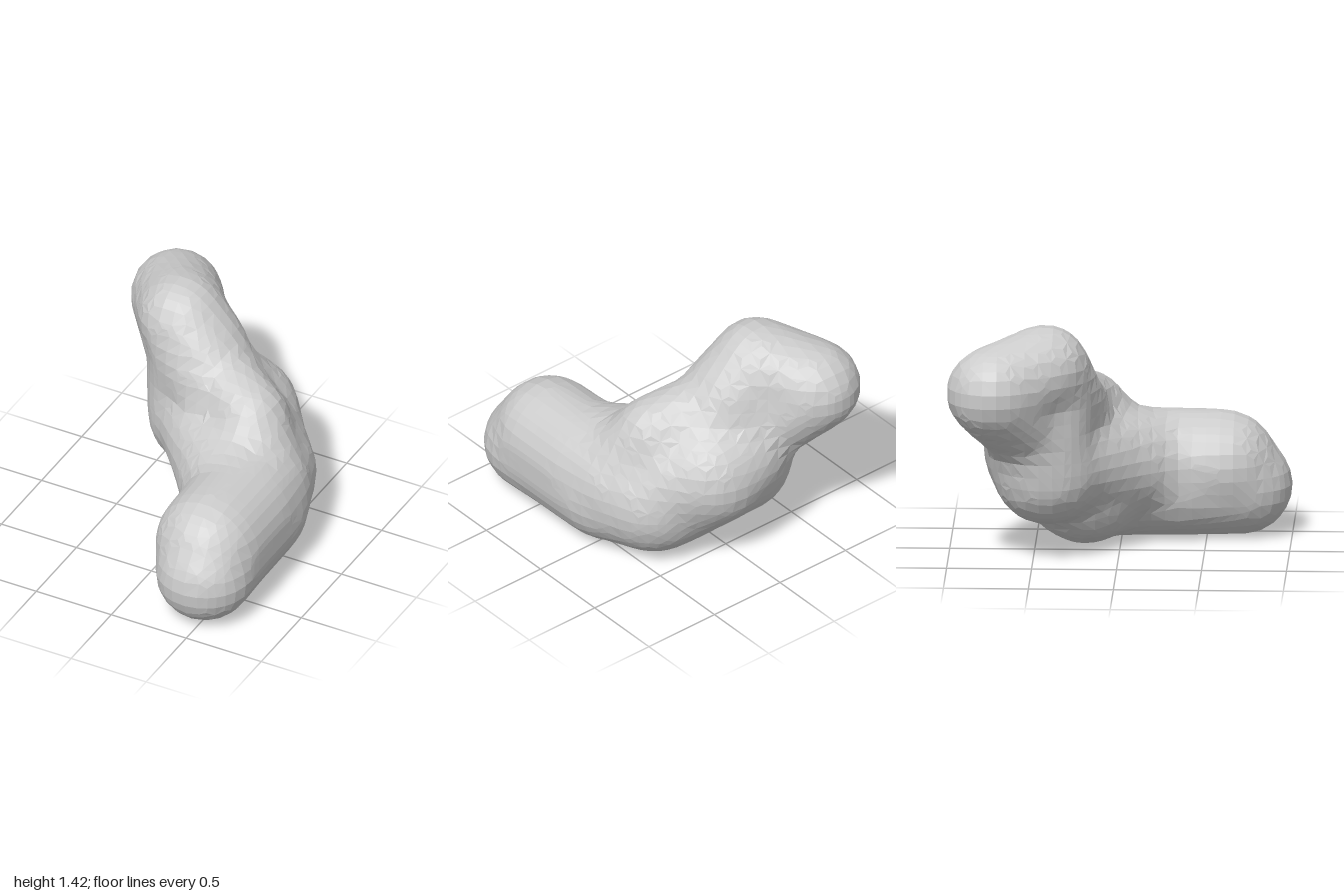
import * as THREE from 'three';

// Rounded limbs: chains of spheres [x, y, z, radius] joined by tapering links
const LOBE = [-0.29, 1.16, -0.43, 0.26];
const BACK_LOBE = [-0.49, 1.06, -0.73, 0.27];
const BELLY = [-0.15, 0.515, -0.42, 0.32];
const BEND = [0.3, 0.38, -0.2, 0.375];
const KNEE = [0.39, 0.42, -0.03, 0.345];
const HUMP = [0.3, 0.78, -0.19, 0.22];
const RIDGE = [0.13, 0.86, -0.27, 0.21];
const BACK = [0.08, 0.58, -0.45, 0.348];
const NECK = [-0.17, 1.0, -0.4, 0.285];
const CHAINS = [
  // front limb, upper and lower halves
  [[0.47, 0.29, 0.71, 0.29], [0.44, 0.42, 0.59, 0.32], [0.435, 0.42, 0.2, 0.325], KNEE],
  [[0.47, 0.29, 0.71, 0.29], [0.44, 0.32, 0.4, 0.32], [0.43, 0.33, 0.05, 0.33], BEND],
  // sloping ridge from the bend to the upper lobe
  [KNEE, HUMP, RIDGE, [-0.02, 0.84, -0.34, 0.275], NECK, LOBE],
  // thick middle and its back
  [BEND, [0.2, 0.35, -0.21, 0.35], BACK, BELLY],
  [HUMP, [0.24, 0.5, -0.3, 0.325], BACK, [-0.02, 0.84, -0.34, 0.275]],
  [BACK, [-0.1, 0.66, -0.47, 0.325]],
  // inner side of the bend
  [[0.435, 0.42, 0.2, 0.325], [0.2, 0.48, -0.09, 0.325], [-0.13, 0.58, -0.41, 0.31]],
  // outer side rising to the neck
  [BELLY, [-0.19, 0.75, -0.46, 0.31], NECK],
  // back lobe with its underside
  [LOBE, BACK_LOBE, [-0.3, 0.84, -0.55, 0.26], [-0.19, 0.75, -0.46, 0.31]],
];

const LINKS = CHAINS.flatMap((c) => c.slice(1).map((b, i) => [c[i], b]));

// Distance to one tapering link
function linkDistance(x, y, z, [a, b]) {
  const dx = b[0] - a[0], dy = b[1] - a[1], dz = b[2] - a[2];
  const px = x - a[0], py = y - a[1], pz = z - a[2];
  const along = (px * dx + py * dy + pz * dz) / (dx * dx + dy * dy + dz * dz);
  const t = Math.min(1, Math.max(0, along));
  return Math.hypot(px - t * dx, py - t * dy, pz - t * dz) - (a[3] + t * (b[3] - a[3]));
}

function union(x, y, z) {
  let d = 10;
  for (const link of LINKS) d = Math.min(d, linkDistance(x, y, z, link));
  return d;
}

// Union averaged over a small neighbourhood, which softens the creases
function field([x, y, z]) {
  const r = 0.08;
  let sum = union(x, y, z);
  for (const s of [-r, r]) sum += union(x + s, y, z) + union(x, y + s, z) + union(x, y, z + s);
  return sum / 7 - 0.006;
}

// Move a point onto the softened surface
function settle(p) {
  const e = 0.01;
  for (let n = 0; n < 3; n++) {
    const g = [0, 1, 2].map((a) => {
      const hi = p.slice(), lo = p.slice();
      hi[a] += e;
      lo[a] -= e;
      return field(hi) - field(lo);
    });
    const d = field(p), len = Math.hypot(...g) || 1;
    p = p.map((v, a) => v - (g[a] / len) * d);
  }
  return p;
}

// Skin the field with quads on a coarse grid
function skin(step) {
  const min = [-1, -0.22, -1.22];
  const size = [2, 1.9, 2.44].map((s) => Math.ceil(s / step));
  const at = (c) => c.map((v, a) => min[a] + v * step);
  const id = (c) => (c[2] * (size[1] + 1) + c[1]) * (size[0] + 1) + c[0];
  const values = [], cells = new Map(), positions = [], index = [];
  const each = (from, to, visit) => {
    for (let z = from; z < size[2] + to; z++)
      for (let y = from; y < size[1] + to; y++)
        for (let x = from; x < size[0] + to; x++) visit([x, y, z]);
  };
  each(0, 1, (c) => { values[id(c)] = field(at(c)); });

  // One point in each cell that the surface crosses
  each(0, 0, (c) => {
    const corners = [];
    for (let n = 0; n < 8; n++) corners.push([c[0] + (n & 1), c[1] + ((n >> 1) & 1), c[2] + (n >> 2)]);
    const sum = [0, 0, 0];
    let count = 0;
    for (let n = 0; n < 8; n++)
      for (const bit of [1, 2, 4]) {
        if (n & bit) continue;
        const u = values[id(corners[n])], v = values[id(corners[n | bit])];
        if (u < 0 === v < 0) continue;
        const p = at(corners[n]), q = at(corners[n | bit]), t = u / (u - v);
        for (let a = 0; a < 3; a++) sum[a] += p[a] + (q[a] - p[a]) * t;
        count++;
      }
    if (!count) return;
    cells.set(id(c), positions.length / 3);
    positions.push(...settle(sum.map((s) => s / count)));
  });

  // One quad around each grid edge that the surface crosses
  each(1, 0, (c) => {
    for (let a = 0; a < 3; a++) {
      const next = c.slice();
      next[a]++;
      const inside = values[id(c)] < 0;
      if (inside === values[id(next)] < 0) continue;
      const u = (a + 1) % 3, v = (a + 2) % 3;
      const quad = [[1, 1], [0, 1], [0, 0], [1, 0]].map(([du, dv]) => {
        const k = c.slice();
        k[u] -= du;
        k[v] -= dv;
        return cells.get(id(k));
      });
      if (!inside) quad.reverse();
      index.push(quad[0], quad[1], quad[2], quad[0], quad[2], quad[3]);
    }
  });

  const geometry = new THREE.BufferGeometry();
  geometry.setAttribute('position', new THREE.Float32BufferAttribute(positions, 3));
  geometry.setIndex(index);
  geometry.computeVertexNormals();
  return geometry;
}

export function createModel() {
  const group = new THREE.Group();
  group.name = 'lumpyBentForm';
  const body = new THREE.Mesh(
    skin(0.08),
    new THREE.MeshStandardMaterial({ color: 0xcccccc, flatShading: true }),
  );
  body.name = 'body';
  group.add(body);
  return group;
}
